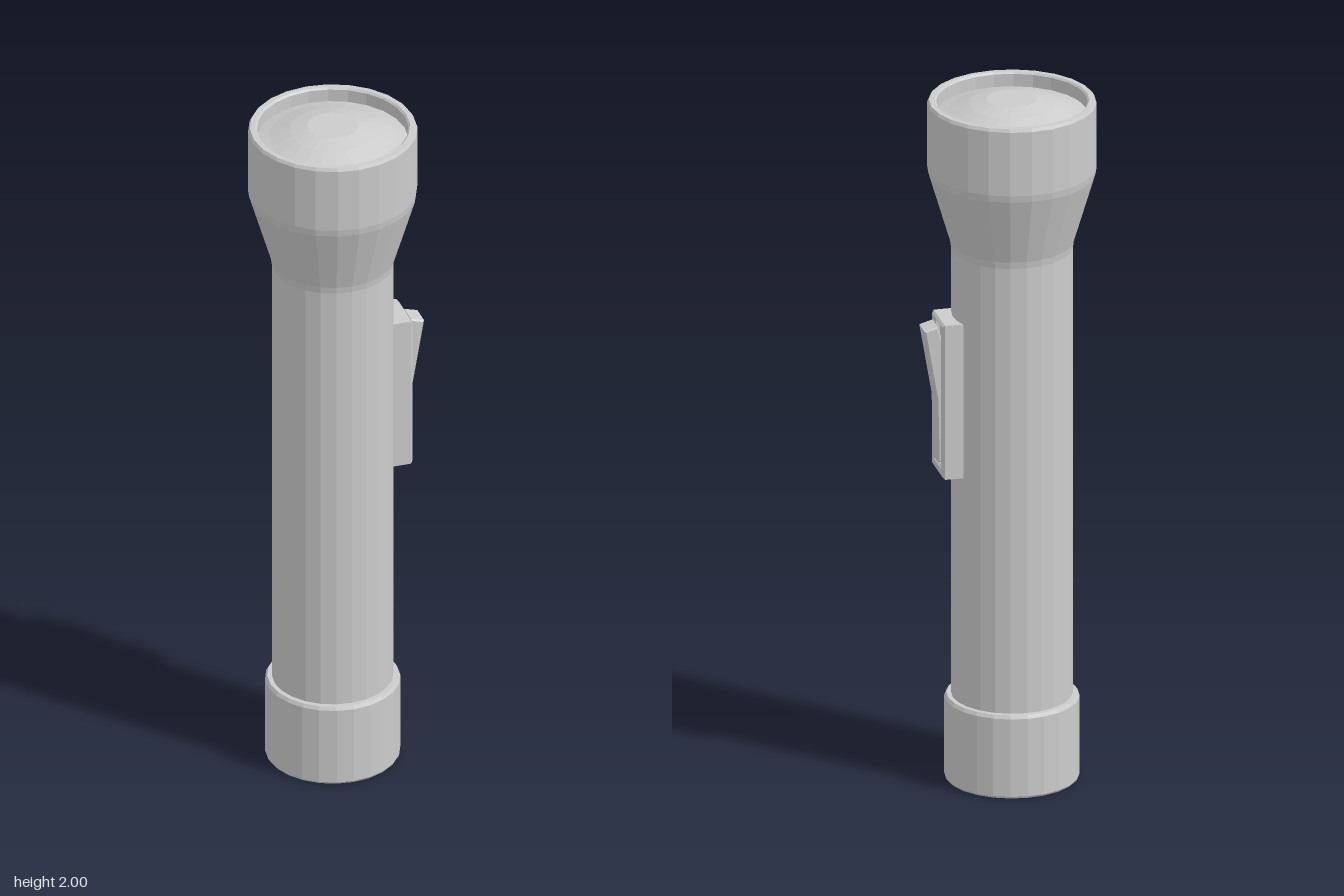
import * as THREE from 'three';

const AXIS_X = -0.012;
const SIDES = 24;
const material = new THREE.MeshStandardMaterial({ color: 0xcccccc, flatShading: true });

function addMesh(group, name, geometry) {
  const mesh = new THREE.Mesh(geometry, material);
  mesh.name = name;
  group.add(mesh);
  return mesh;
}

// Turned part from [radius, height] pairs, listed from the bottom up
function turned(group, name, profile) {
  const points = profile.map(([r, y]) => new THREE.Vector2(r, y));
  addMesh(group, name, new THREE.LatheGeometry(points, SIDES)).position.x = AXIS_X;
}

function polygon(points) {
  return new THREE.Shape(points.map(([x, y]) => new THREE.Vector2(x, y)));
}

function rectangle(halfWidth, bottom, top) {
  return polygon([[-halfWidth, bottom], [halfWidth, bottom], [halfWidth, top], [-halfWidth, top]]);
}

// Extrusion with a small chamfer that stays inside the outline
function chamfered(shape, depth, chamfer) {
  const geometry = new THREE.ExtrudeGeometry(shape, {
    depth: depth - 2 * chamfer, bevelEnabled: true, bevelSegments: 1,
    bevelSize: chamfer, bevelThickness: chamfer, bevelOffset: -chamfer,
  });
  return geometry.translate(0, 0, chamfer);
}

export function createModel() {
  const model = new THREE.Group();
  model.name = 'flashlight';

  // End cap with a recessed underside
  turned(model, 'endCap', [
    [0, 0.055], [0.165, 0.055], [0.17, 0.005], [0.174, 0], [0.183, 0], [0.187, 0.006],
    [0.187, 0.235], [0.181, 0.245], [0.16, 0.245],
  ]);

  // Straight barrel
  turned(model, 'barrel', [[0.168, 0.2], [0.168, 1.57]]);

  // Flared head with an open rim
  turned(model, 'head', [
    [0.16, 1.56], [0.168, 1.56], [0.171, 1.58], [0.231, 1.78], [0.234, 1.8],
    [0.234, 1.988], [0.229, 1.997], [0.214, 1.997], [0.209, 1.992], [0.209, 1.94],
  ]);

  // Domed lens with a flat centre
  turned(model, 'lens', [[0.209, 1.955], [0.176, 1.965], [0.12, 1.987], [0.07, 2], [0, 2]]);

  // Switch on the left side: frame, floor and tilted rocker
  const switchGroup = new THREE.Group();
  switchGroup.name = 'switch';
  model.add(switchGroup);

  const frame = rectangle(0.065, 0.915, 1.37);
  frame.holes.push(rectangle(0.037, 0.945, 1.355));
  addMesh(switchGroup, 'switchFrame', chamfered(frame, 0.07, 0.006).rotateY(Math.PI / 2)).position.x = 0.13;

  addMesh(switchGroup, 'switchFloor', new THREE.BoxGeometry(0.05, 0.43, 0.1)).position.set(0.158, 1.1425, 0);

  const rocker = polygon([
    [0.16, 0.955], [0.205, 0.955], [0.209, 1.14], [0.244, 1.345], [0.206, 1.356], [0.16, 1.2],
  ]);
  addMesh(switchGroup, 'rocker', chamfered(rocker, 0.066, 0.004)).position.z = -0.033;

  return model;
}
